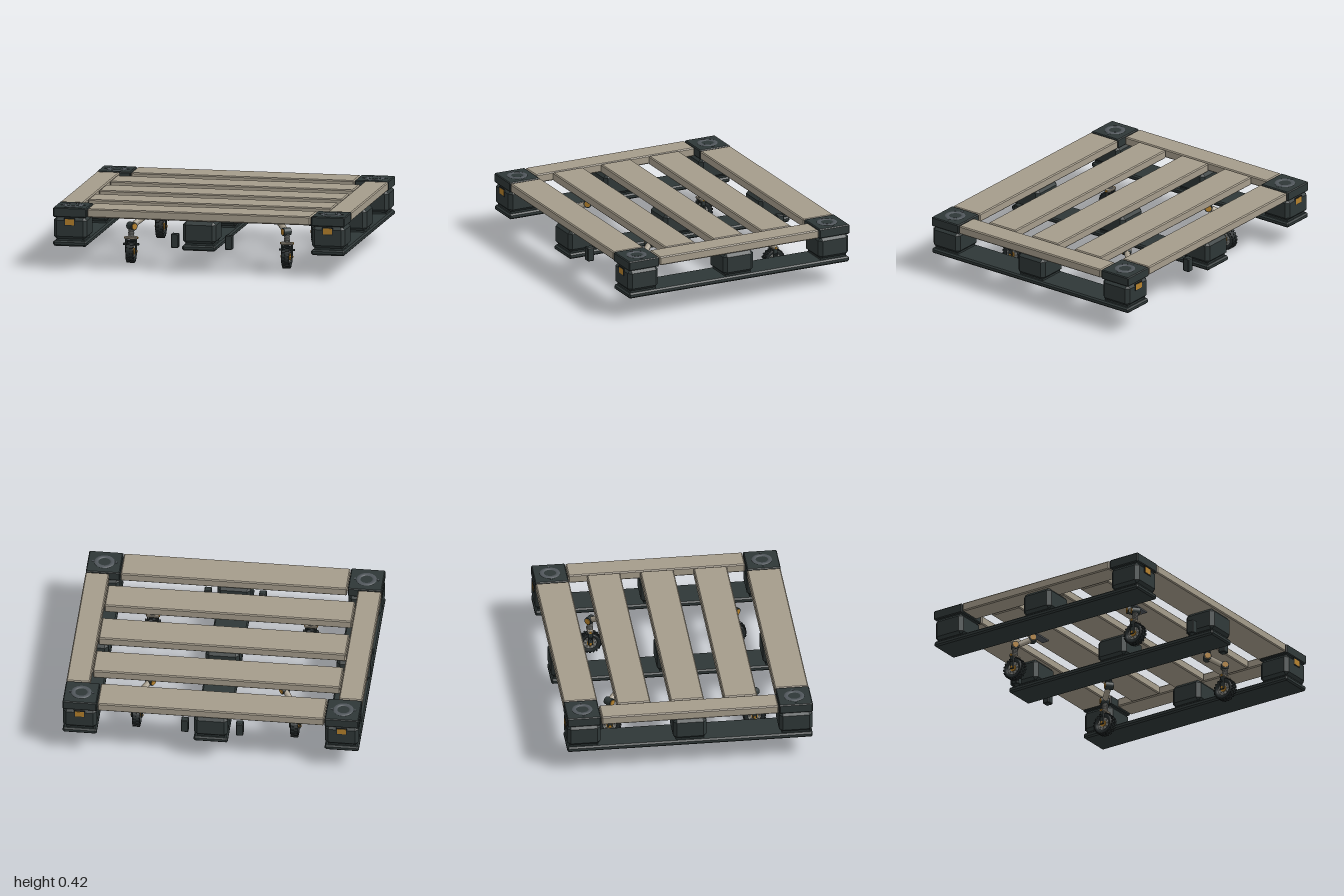
import * as THREE from 'three';
import { ConvexGeometry } from 'three/addons/geometries/ConvexGeometry.js';

const mat = (name, color) => {
  const m = new THREE.MeshStandardMaterial({ color });
  m.name = name;
  return m;
};

export function createModel() {
  const dark = mat('dark plastic', 0x2e3737);
  const rubber = mat('black rubber', 0x23292a);
  const tan = mat('tan board', 0xa59c8b);
  const trim = mat('grey trim', 0x50565b);
  const steel = mat('steel', 0x8d8e8a);
  const gold = mat('amber metal', 0xb5812c);

  const model = new THREE.Group();
  model.name = 'wheeledPallet';

  const V = (x, y, z) => new THREE.Vector3(x, y, z);
  const add = (parent, name, geometry, material, x = 0, y = 0, z = 0) => {
    const mesh = new THREE.Mesh(geometry, material);
    mesh.name = name;
    mesh.position.set(x, y, z);
    parent.add(mesh);
    return mesh;
  };

  // Box with every edge cut by c
  const chamferBox = (w, h, d, c) => {
    const pts = [];
    for (const x of [-1, 1]) for (const y of [-1, 1]) for (const z of [-1, 1]) {
      const a = w / 2, b = h / 2, e = d / 2;
      pts.push(V(x * a, y * (b - c), z * (e - c)), V(x * (a - c), y * b, z * (e - c)), V(x * (a - c), y * (b - c), z * e));
    }
    return new ConvexGeometry(pts);
  };

  // Cylinder running between two points
  const rod = (parent, name, a, b, r, material, sides = 20) => {
    const dir = b.clone().sub(a);
    const mesh = add(parent, name, new THREE.CylinderGeometry(r, r, dir.length(), sides), material);
    mesh.position.copy(a).add(b).multiplyScalar(0.5);
    mesh.quaternion.setFromUnitVectors(V(0, 1, 0), dir.normalize());
    return mesh;
  };

  // Deck boards
  const board = (name, w, d, x, z) => add(model, name, chamferBox(w, 0.06, d, 0.007), tan, x, 0.387, z);
  for (const s of [-1, 1]) {
    board('endBoard', 1.53, 0.228, 0, s * 0.715);
    board('sideBoard', 0.16, 1.196, s * 0.92, 0);
  }
  for (const z of [-0.361, 0, 0.361]) board('deckBoard', 1.67, 0.226, 0, z);

  // Three runners, each with three spacer blocks
  for (const x of [-0.885, 0, 0.885]) {
    add(model, 'runner', chamferBox(0.23, 0.037, 1.66, 0.01), dark, x, 0.174, 0);
    for (const z of [-0.717, 0, 0.717]) {
      add(model, 'blockFoot', new THREE.BoxGeometry(0.19, 0.02, 0.19), dark, x, 0.197, z);
      add(model, 'spacerBlock', chamferBox(0.228, 0.156, 0.226, 0.024), dark, x, 0.277, z);
    }
  }

  // Corner caps with a stacking ring, screws and an amber marker
  const ringProfile = [[0.04, -0.004], [0.042, 0.003], [0.055, 0.004], [0.068, 0.002], [0.07, -0.004]]
    .map(([r, y]) => new THREE.Vector2(r, y)).reverse();
  const ringGeometry = new THREE.LatheGeometry(ringProfile, 32);
  for (const sx of [-1, 1]) for (const sz of [-1, 1]) {
    const x = sx * 0.885, z = sz * 0.717;
    add(model, 'cornerCap', chamferBox(0.23, 0.066, 0.228, 0.006), dark, x, 0.386, z);
    add(model, 'stackingRing', ringGeometry, trim, x, 0.419, z);
    for (const s of [-1, 1])
      add(model, 'capScrew', new THREE.CylinderGeometry(0.008, 0.008, 0.004, 12), trim, x + s * 0.078, 0.42, z);
    add(model, 'markerFrame', new THREE.BoxGeometry(0.074, 0.052, 0.006), rubber, x, 0.322, sz * 0.83);
    add(model, 'marker', new THREE.BoxGeometry(0.062, 0.04, 0.008), gold, x, 0.322, sz * 0.831);
  }

  // Small guide posts beside the middle runner ends
  for (const sx of [-1, 1]) for (const sz of [-1, 1])
    add(model, 'guidePost', chamferBox(0.05, 0.096, 0.05, 0.005), dark, sx * 0.185, 0.203, sz * 0.715);

  // Wheel, built around the x axis
  const tireProfile = [[0.045, -0.02], [0.06, -0.028], [0.069, -0.025], [0.073, -0.014], [0.073, 0.014],
    [0.069, 0.025], [0.06, 0.028], [0.045, 0.02], [0.045, -0.02]].map(([r, y]) => new THREE.Vector2(r, y));
  const tireGeometry = new THREE.LatheGeometry(tireProfile, 40).rotateZ(Math.PI / 2);
  const discShape = new THREE.Shape().absarc(0, 0, 0.046, 0, Math.PI * 2, false);
  for (let i = 0; i < 8; i++) {
    const a = i * Math.PI / 4;
    discShape.holes.push(new THREE.Path().absarc(0.033 * Math.cos(a), 0.033 * Math.sin(a), 0.005, 0, Math.PI * 2, true));
  }
  const discGeometry = new THREE.ExtrudeGeometry(discShape, { depth: 0.036, bevelEnabled: false, curveSegments: 16 })
    .translate(0, 0, -0.018).rotateY(Math.PI / 2);
  const lugGeometry = new THREE.BoxGeometry(0.025, 0.009, 0.013);

  const makeWheel = (parent, p) => {
    const wheel = new THREE.Group();
    wheel.name = 'wheel';
    wheel.position.copy(p);
    parent.add(wheel);
    add(wheel, 'tire', tireGeometry, rubber);
    add(wheel, 'wheelDisc', discGeometry, steel);
    rod(wheel, 'hub', V(-0.024, 0, 0), V(0.024, 0, 0), 0.022, gold);
    for (let i = 0; i < 40; i++) {
      const a = i * Math.PI / 20;
      const lug = add(wheel, 'treadLug', lugGeometry, rubber, i % 2 ? 0.012 : -0.012, 0.0735 * Math.cos(a), 0.0735 * Math.sin(a));
      lug.rotation.x = a;
    }
  };

  // Folding caster: bracket, diagonal arm, spring, fork and wheel
  const makeCaster = (sx, sz) => {
    const caster = new THREE.Group();
    caster.name = 'caster';
    model.add(caster);
    const top = V(sx * 0.452, 0.31, sz * 0.4), low = V(sx * 0.53, 0.25, sz * 0.49);
    const cx = sx * 0.534, cz = sz * 0.49;

    add(caster, 'mountPlate', new THREE.BoxGeometry(0.15, 0.01, 0.05), trim, sx * 0.375, 0.349, sz * 0.4);
    add(caster, 'mountBracket', new THREE.BoxGeometry(0.03, 0.06, 0.03), dark, top.x, 0.327, top.z);

    // Arm, with a pin across each joint
    const across = V(low.z - top.z, 0, top.x - low.x).normalize();
    const pin = (name, p, r, half, m) => rod(caster, name, p.clone().addScaledVector(across, -half), p.clone().addScaledVector(across, half), r, m);
    rod(caster, 'arm', top, low, 0.021, tan, 8);
    for (const p of [top, low]) {
      pin('joint', p, 0.027, 0.027, dark);
      pin('jointPin', p, 0.02, 0.031, gold);
    }

    // Spring strut
    rod(caster, 'strut', V(cx, 0.16, cz), V(cx, 0.25, cz), 0.01, steel);
    for (let i = 0; i < 5; i++) {
      const coil = add(caster, 'springCoil', new THREE.TorusGeometry(0.016, 0.005, 8, 20), steel, cx, 0.184 + i * 0.011, cz);
      coil.rotation.x = Math.PI / 2;
    }

    // Fork
    add(caster, 'forkCrown', chamferBox(0.084, 0.016, 0.042, 0.004), tan, cx, 0.17, cz);
    rod(caster, 'crownPin', V(cx - 0.047, 0.17, cz), V(cx + 0.047, 0.17, cz), 0.008, gold, 12);
    rod(caster, 'axle', V(cx - 0.042, 0.08, cz), V(cx + 0.042, 0.08, cz), 0.009, gold, 12);
    rod(caster, 'brakeBolt', V(cx - 0.054, 0.126, cz), V(cx + 0.054, 0.126, cz), 0.008, rubber, 12);
    for (const s of [-1, 1])
      add(caster, 'forkLeg', chamferBox(0.009, 0.1, 0.032, 0.003), dark, cx + s * 0.034, 0.118, cz);
    makeWheel(caster, V(cx, 0.078, cz));
  };
  for (const sx of [-1, 1]) for (const sz of [-1, 1]) makeCaster(sx, sz);

  return model;
}
